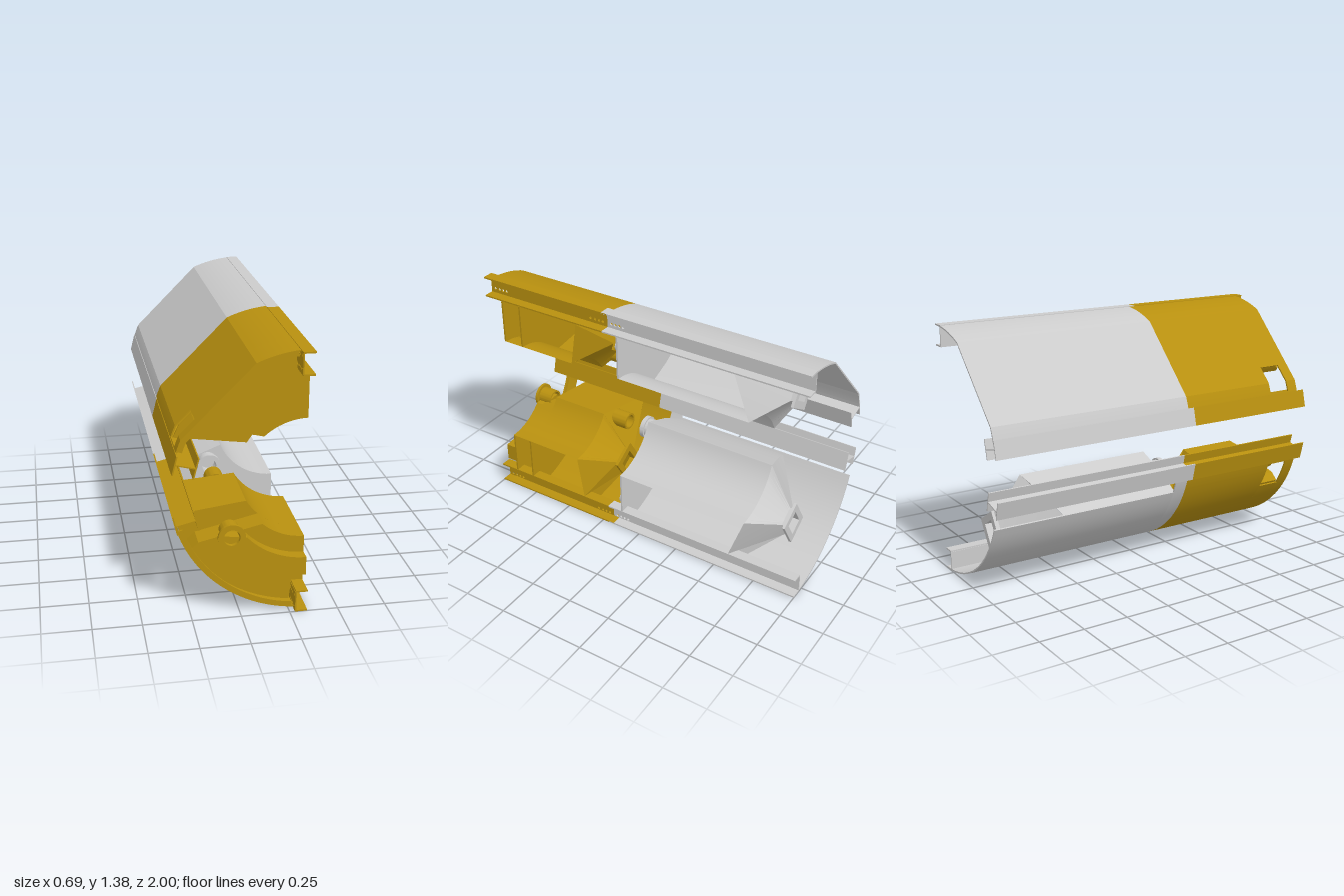
import * as THREE from 'three';
import { toCreasedNormals } from 'three/addons/utils/BufferGeometryUtils.js';

const CX = 0.34, CY = 0.69, R = 0.69, BORE = 0.32;
const rad = THREE.MathUtils.degToRad;
const N = 14;

const mat = (color) => new THREE.MeshStandardMaterial({ color, side: THREE.DoubleSide, roughness: 0.8 });

// One quarter of the casing: s = -1 lower (round skin), s = 1 upper (flat chord panel)
function quarter(s, yellow, grey) {
  const g = new THREE.Group();
  g.name = s > 0 ? 'upperCasing' : 'lowerCasing';

  // Polar point: angle 0 points to -x, 90 points away from the centre line
  const P = (r, a) => new THREE.Vector2(CX - r * Math.cos(rad(a)), CY + s * r * Math.sin(rad(a)));
  const Y = (y) => CY + s * (CY - y); // y given as on the lower half
  const skinR = (a) => (s > 0 && a > 23 && a < 66.6)
    ? R * Math.cos(rad(21.8)) / Math.cos(rad(a - 44.8)) : R;
  const arc = (r, a0, a1, n = N) => Array.from({ length: n }, (_, i) => {
    const a = a0 + (a1 - a0) * i / (n - 1);
    return P(typeof r === 'function' ? r(a) : r, a);
  });

  function add(name, geo, m) {
    const mesh = new THREE.Mesh(geo, m);
    mesh.name = name;
    g.add(mesh);
    return mesh;
  }
  function prism(name, pts, z0, z1, m, hole) {
    const shape = new THREE.Shape(pts);
    if (hole) shape.holes.push(new THREE.Path(hole));
    const geo = new THREE.ExtrudeGeometry(shape, { depth: z1 - z0, bevelEnabled: false });
    geo.translate(0, 0, z0);
    return add(name, toCreasedNormals(geo, 0.35), m);
  }
  // Sheet between two rows of 3D points
  function sheet(name, a, b, m, closed = false) {
    const pos = [], n = a.length;
    for (let i = 0; i < (closed ? n : n - 1); i++) {
      const j = (i + 1) % n;
      for (const p of [a[i], a[j], b[j], a[i], b[j], b[i]]) pos.push(p.x, p.y, p.z);
    }
    const geo = new THREE.BufferGeometry();
    geo.setAttribute('position', new THREE.Float32BufferAttribute(pos, 3));
    geo.computeVertexNormals();
    return add(name, toCreasedNormals(geo, 0.35), m);
  }
  const at = (pts, z) => pts.map((p) => new THREE.Vector3(p.x, p.y, z));

  // Outer skin band with the chord corners kept as exact points
  function skin(name, a0, a1, z0, z1, m, t = 0.008) {
    const stops = [a0, ...[23, 66.6].filter((c) => c > a0 && c < a1), a1];
    const run = (off) => stops.slice(1).flatMap((b, i) =>
      arc((a) => skinR(a) - off, stops[i], b, 12).slice(i ? 1 : 0));
    prism(name, [...run(0), ...run(t).reverse()], z0, z1, m);
  }
  // Edge along the skin, stepping clear of the channel rail
  const outer = (a) => [...arc((b) => skinR(b) - 0.01, a, 84, N - 2), P(0.57, 84), P(0.57, 90)];

  // Skins: front with window, rear with a slot beside the rail on the lower half
  skin('frontSkin', 16, 90, 0.175, 0.76, yellow);
  skin('frontSkinAboveWindow', 32, 90, 0.76, 0.89, yellow);
  skin('frontSkinBelowWindow', 16, 18, 0.76, 0.89, yellow);
  skin('frontSkinEdge', 16, 90, 0.89, 0.955, yellow);
  skin('frontRim', 18, 84, 0.945, 0.955, yellow, 0.03);
  skin('rearSkinCollar', 16, 90, 0.1, 0.175, grey);
  skin('rearSkin', s > 0 ? 16 : 23, 90, -1, 0.1, grey);

  // Rails: channel with bolt holes at the flat side, I-beam at the tilted side
  const bar = (name, x0, y0, x1, y1, t, z0, z1, m) => {
    const a = new THREE.Vector2(x0, Y(y0)), b = new THREE.Vector2(x1, Y(y1));
    const d = b.clone().sub(a).normalize().multiplyScalar(t / 2);
    const n = new THREE.Vector2(-d.y, d.x);
    prism(name, [a.clone().add(n), b.clone().add(n), b.clone().sub(n), a.clone().sub(n)], z0, z1, m);
  };
  for (const [z0, z1, m, holes] of [
    [0.21, 1, yellow, [0.895, 0.92, 0.945, 0.975, 0.24, 0.265, 0.29, 0.32]],
    [-1, 0.21, grey, [0.11, 0.135, 0.16, 0.185]],
  ]) {
    const web = new THREE.Shape([[z0, 0], [z1, 0], [z1, 0.11], [z0, 0.11]].map(([z, y]) => new THREE.Vector2(-z, Y(y))));
    for (const z of holes) for (const y of [0.022, 0.086]) {
      web.holes.push(new THREE.Path().absarc(-z, Y(y), 0.008, 0, Math.PI * 2));
    }
    const geo = new THREE.ExtrudeGeometry(web, { depth: 0.007, bevelEnabled: false, curveSegments: 5 });
    geo.rotateY(Math.PI / 2);
    geo.translate(0.277, 0, 0);
    add('channelWeb', geo, m);
    bar('channelOuterFlange', 0.28, 0.004, 0.34, 0.004, 0.008, z0, z1, m);
    bar('channelInnerFlange', 0.28, 0.114, 0.34, 0.114, 0.008, z0, z1, m);
    bar('beamOuterFlange', -0.342, 0.58, -0.318, 0.483, 0.007, z0, z1, m);
    bar('beamInnerFlange', -0.24, 0.605, -0.214, 0.5, 0.007, z0, z1, m);
    bar('beamWeb', -0.33, 0.527, -0.227, 0.553, 0.006, z0, z1, m);
  }

  // Hopper end: inner wall and skin edge drawn together into a rectangular neck
  function hopper(aIn, aOut, side, zStart, zIn, zOut, zNeck, m) {
    const inner = arc(BORE, 90, aIn), edge = outer(aOut);
    const innerEnd = inner[N - 1], edgeEnd = edge[0];
    sheet('innerWall', at(inner, zStart), at(inner, zIn), m);
    const wall = [innerEnd, ...side, edgeEnd];
    sheet('sideWall', at(wall, zStart), wall.map((p, i) =>
      new THREE.Vector3(p.x, p.y, zIn + (zOut - zIn) * i / (wall.length - 1))), m);
    // Neck rectangle, aligned with the middle radius
    const mid = P(0.5, 58), u = P(1, 58).sub(P(0, 58)), v = new THREE.Vector2(-u.y, u.x).multiplyScalar(s);
    const corner = (k, w) => mid.clone().addScaledVector(u, k).addScaledVector(v, w);
    const rect = (k, w) => [corner(-k, -w), corner(-k, w), corner(k, w), corner(k, -w)];
    const edgeLine = (k, w0, w1) => Array.from({ length: N }, (_, i) => corner(k, w0 + (w1 - w0) * i / (N - 1)));
    // Choose the neck direction that keeps the loop untwisted
    const f = corner(0, 0.06).distanceTo(P(0.5, 90)) < corner(0, -0.06).distanceTo(P(0.5, 90)) ? 1 : -1;
    const neck = [...edgeLine(-0.06, 0.05 * f, -0.05 * f), ...edgeLine(0.06, -0.05 * f, 0.05 * f)];
    sheet('hopperEnd', [...at(inner, zIn), ...at(edge, zOut)], at(neck, zNeck), m, true);
    prism('neckTube', rect(0.065, 0.055), zNeck - 0.03, zNeck + 0.01, m, rect(0.055, 0.045));
    prism('neckFlange', rect(0.095, 0.08), zNeck - 0.03, zNeck - 0.015, m, rect(0.055, 0.045));
  }
  hopper(30, 18, [], 0.77, 0.42, 0.38, 0.27, yellow);
  hopper(22, 24, [P(0.51, 22)], 0.11, -0.68, -0.59, -0.82, grey);

  // Front bulkheads with the notch between them
  const notch = [...arc(BORE, 90, 47.5), P(0.625, 30), ...outer(31)];
  prism('frontBulkhead', notch, 0.88, 0.89, yellow);
  prism('stepBulkhead', [...arc(BORE, 90, 30), ...outer(18)], 0.76, 0.77, yellow);
  const step = notch.slice(0, N + 2);
  sheet('notchWall', at(step, 0.89), at(step, 0.77), yellow);
  prism('rearBulkhead', [...arc(BORE, 90, 22), P(0.51, 22), ...outer(24)], 0.11, 0.12, grey);

  // Round fittings
  function ring(name, x, y, r, hole, z0, z1, m) {
    const c = (q) => new THREE.Path().absarc(x, Y(y), q, 0, Math.PI * 2).getPoints(24);
    prism(name, c(r), z0, z1, m, c(hole));
  }
  ring('pipe', -0.03, 0.475, 0.055, 0.04, 0.11, 0.18, grey);
  ring('pipeCollar', -0.03, 0.475, 0.065, 0.04, 0.165, 0.19, grey);
  for (const [x, y] of [[0.1, 0.27], [0.29, 0.19]]) {
    ring('socket', x, y, 0.022, 0.012, 0.12, 0.145, grey);
    ring('socketRim', x, y, 0.035, 0.012, 0.125, 0.138, grey);
  }
  ring('rearPort', -0.03, 0.47, 0.05, 0.038, 0.3, 0.4, yellow);
  if (s < 0) {
    // Curved duct and inlet on the lower front bulkhead
    prism('duct', [...arc(0.41, 90, 42), ...arc(0.51, 30, 90)], 0.89, 0.95, yellow);
    ring('inletStem', -0.045, 0.43, 0.052, 0.042, 0.87, 0.965, yellow);
    ring('inletFlange', -0.045, 0.43, 0.07, 0.042, 0.955, 0.97, yellow);
  }
  return g;
}

export function createModel() {
  const model = new THREE.Group();
  model.name = 'splitCasing';
  const yellow = mat(0xb8900f), grey = mat(0xcccccc);
  model.add(quarter(-1, yellow, grey), quarter(1, yellow, grey));
  return model;
}
